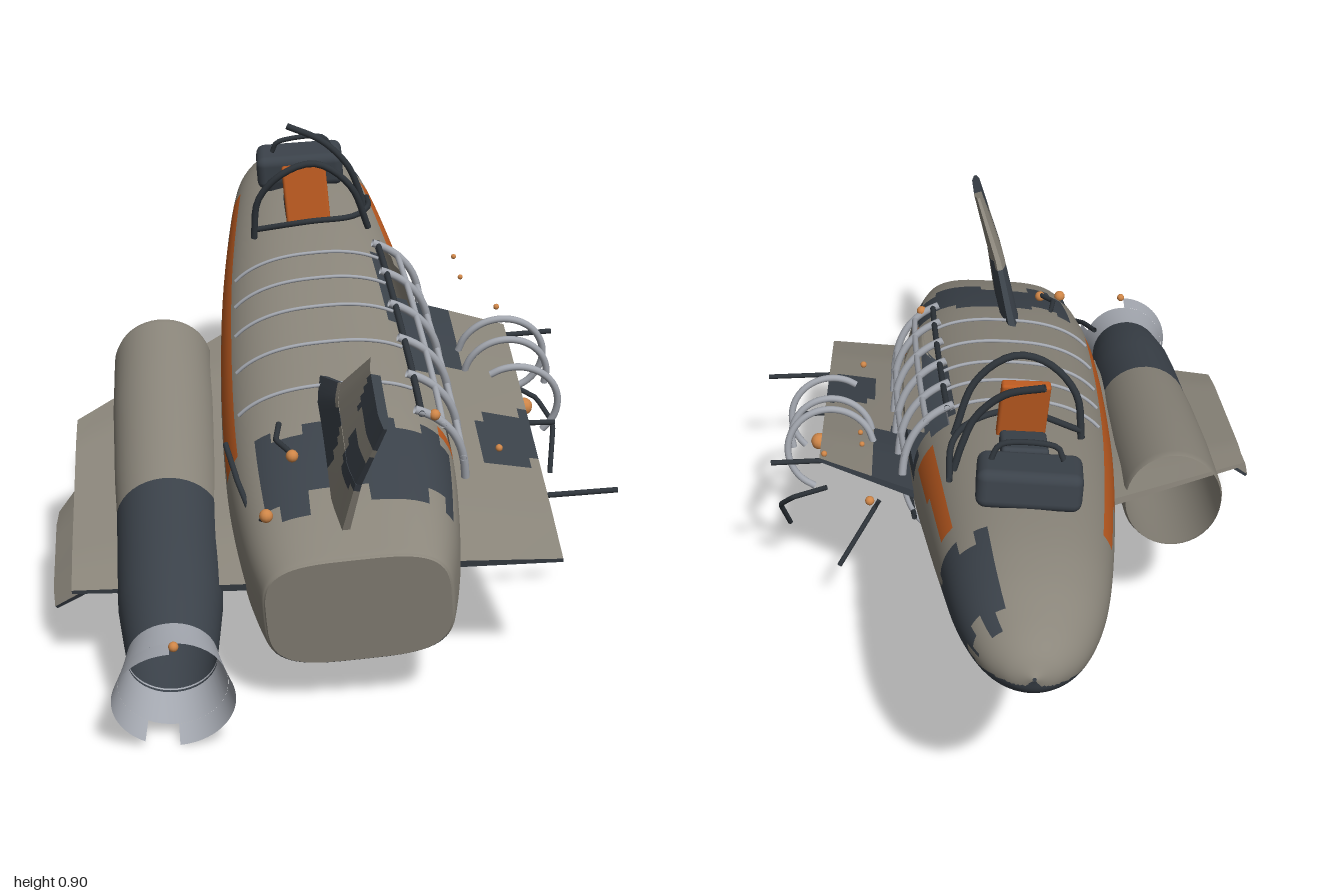
import * as THREE from 'three';
import { RoundedBoxGeometry } from 'three/addons/geometries/RoundedBoxGeometry.js';

const mat = (name, color) => {
  const m = new THREE.MeshStandardMaterial({ color, side: THREE.DoubleSide });
  m.name = name;
  return m;
};
const V = (x, y, z) => new THREE.Vector3(x, y, z);
const DEG = Math.PI / 180;

// Hull stations along z: [z, half width, half height, centre y, squareness]
const STATIONS = [
  [-1.02, 0.004, 0.004, -0.025, 2], [-0.995, 0.06, 0.046, -0.02, 2], [-0.94, 0.108, 0.08, -0.012, 2],
  [-0.84, 0.147, 0.107, 0.008, 2.1], [-0.7, 0.173, 0.124, 0.025, 2.2], [-0.45, 0.202, 0.152, 0.025, 2.3],
  [-0.15, 0.228, 0.18, 0.012, 2.4], [0.2, 0.243, 0.193, -0.003, 2.5], [0.5, 0.242, 0.192, -0.01, 2.7],
  [0.72, 0.222, 0.168, -0.012, 3], [0.86, 0.195, 0.138, -0.008, 3.4], [0.885, 0.183, 0.127, -0.006, 3.6],
];
const curveA = new THREE.CatmullRomCurve3(STATIONS.map((s) => V(s[0], s[1], s[2])), false, 'catmullrom', 0.5);
const curveB = new THREE.CatmullRomCurve3(STATIONS.map((s) => V(s[0], s[3], s[4])), false, 'catmullrom', 0.5);

// Point on the hull at curve parameter t and angle a, lifted by off
function hullPoint(t, a, off = 0) {
  const p = curveA.getPoint(t), q = curveB.getPoint(t), e = 2 / q.z;
  const c = Math.cos(a), s = Math.sin(a);
  return V(0.015 + Math.sign(c) * Math.abs(c) ** e * (p.y + off), q.y + Math.sign(s) * Math.abs(s) ** e * (p.z + off), p.x);
}
function paramAt(z) {
  let lo = 0, hi = 1;
  for (let i = 0; i < 30; i++) {
    const m = (lo + hi) / 2;
    if (curveA.getPoint(m).x < z) lo = m; else hi = m;
  }
  return lo;
}

// Sort quads into material groups by pick(centre, faceNormal); -1 cuts the quad away
function paint(geo, pick, mats) {
  const pos = geo.attributes.position, idx = geo.index.array, buckets = mats.map(() => []);
  for (let i = 0; i < idx.length; i += 6) {
    const [a, b, c, d] = [idx[i], idx[i + 1], idx[i + 2], idx[i + 4]].map((k) => V().fromBufferAttribute(pos, k));
    const n = b.clone().sub(a).cross(c.clone().sub(a)).normalize();
    const m = pick(a.add(b).add(c).add(d).divideScalar(4), n);
    if (m >= 0) buckets[m].push(...idx.slice(i, i + 6));
  }
  geo.clearGroups();
  let start = 0;
  buckets.forEach((b, m) => { geo.addGroup(start, b.length, m); start += b.length; });
  geo.setIndex(buckets.flat());
  return geo;
}

// Thin slab over four corners: inner front, outer front, inner rear, outer rear
function slab(corners, t0, t1, nu, nv) {
  const [a, b, c, d] = corners.map((p) => V(...p));
  const n = c.clone().sub(a).cross(b.clone().sub(a)).normalize();
  const g = new THREE.BoxGeometry(1, 1, 1, nu, 1, nv), pos = g.attributes.position;
  for (let i = 0; i < pos.count; i++) {
    const u = pos.getX(i) + 0.5, v = pos.getZ(i) + 0.5, h = pos.getY(i);
    const p = a.clone().lerp(b, u).lerp(c.clone().lerp(d, u), v);
    const edge = 0.35 + 0.65 * Math.min(1, Math.min(v, 1 - v) * 6);
    p.addScaledVector(n, h * (t0 + (t1 - t0) * u) * edge);
    pos.setXYZ(i, p.x, p.y, p.z);
  }
  g.computeVertexNormals();
  return g;
}

export function createModel() {
  const grey = mat('hullGrey', 0x8b867b), dark = mat('slate', 0x3b424a), orange = mat('orange', 0xbb5a20);
  const metal = mat('bareMetal', 0xa2a6ae), black = mat('strutBlack', 0x2e343a), copper = mat('copper', 0xcf8648);
  const root = new THREE.Group();
  const ship = new THREE.Group();
  ship.name = 'ship';
  ship.position.y = 0.43;
  ship.rotation.set(0.22, 0, 0.09);
  root.add(ship);
  const add = (parent, name, geo, material) => {
    const m = new THREE.Mesh(geo, material);
    m.name = name;
    parent.add(m);
    return m;
  };
  const tube = (parent, name, pts, r, material, smooth = true) => {
    const c = new THREE.CatmullRomCurve3(pts.map((p) => (p.isVector3 ? p : V(...p))), false, 'catmullrom', smooth ? 0.5 : 0.02);
    return add(parent, name, new THREE.TubeGeometry(c, pts.length * 4, r, 12), material);
  };

  // Fuselage: lofted rings with blocky paint patches and a breach on the left side
  const N = 64, M = 88, verts = [], index = [];
  for (let j = 0; j <= M; j++) for (let i = 0; i < N; i++) verts.push(...hullPoint(j / M, (i / N) * Math.PI * 2).toArray());
  for (let j = 0; j < M; j++) for (let i = 0; i < N; i++) {
    const a = j * N + i, b = j * N + (i + 1) % N;
    index.push(a, b, a + N, b, b + N, a + N);
  }
  const hull = new THREE.BufferGeometry();
  hull.setAttribute('position', new THREE.Float32BufferAttribute(verts, 3));
  hull.setIndex(index);
  hull.computeVertexNormals();
  const tailRing = verts.slice(-N * 3);
  let cell = 0;
  paint(hull, (p, n) => {
    const i = cell++ % N, a = ((i + 0.5) / N) * 360, z = p.z, wob = 0.025 * Math.sin(Math.floor(i / 3) * 2.3);
    if (a > 8 && a < 51 && z > -0.2 + wob * 0.5 && z < 0.47 + wob * 0.5) return -1;
    const low = z > -0.45 ? 11.2 : 16.8;
    if (((a > low && a < 33.8) || (a > 146.2 && a < 180 - low)) && z > -0.65 && z < 0.51 && !(a < 90 && z > -0.25 && z < 0.4)) return 2;
    if (n.y < -0.4) return 1;
    if ((a < 62 || a > 300) && z > -0.93 + wob && z < -0.71 + wob) return 1;
    if (a > 20 && a < 132 && z > 0.51 + wob && z < 0.73 + wob) return 1;
    if (a < 58 && z > -0.22 + wob && z < 0.1 + wob) return 1;
    return 0;
  }, [grey, dark, orange]);
  add(ship, 'fuselage', hull, [grey, dark, orange]);
  tube(ship, 'innerPipe', [[0.14, 0.125, -0.18], [0.15, 0.122, 0.05], [0.155, 0.118, 0.3]], 0.025, metal);

  // Flat tail bulkhead
  const capIdx = [];
  for (let i = 0; i < N; i++) capIdx.push(i, (i + 1) % N, N);
  const cap = new THREE.BufferGeometry();
  cap.setAttribute('position', new THREE.Float32BufferAttribute([...tailRing, 0.015, -0.006, 0.885], 3));
  cap.setIndex(capIdx);
  cap.computeVertexNormals();
  add(ship, 'tailBulkhead', cap, grey);

  // Hull seams, exposed frames and rails around the breach
  const arc = (z, a0, a1, off, n = 14) => Array.from({ length: n + 1 }, (_, k) => hullPoint(paramAt(z), (a0 + (a1 - a0) * k / n) * DEG, off));
  for (const z of [-0.16, -0.045, 0.075, 0.22, 0.38]) {
    tube(ship, 'topSeam', arc(z, 52, 140, 0.003), 0.004, metal);
    tube(ship, 'bellySeam', arc(z, 225, 315, 0.003), 0.004, metal);
  }
  for (const z of [-0.19, -0.06, 0.08, 0.22, 0.36, 0.49]) tube(ship, 'exposedFrame', arc(z, 0, 58, 0.022), 0.009, metal);
  for (const z of [-0.14, 0, 0.16, 0.32]) tube(ship, 'lowerFrame', arc(z, -52, -8, 0.015), 0.006, metal);
  const rail = (a, z0, z1, off, r, m) => tube(ship, 'rail', Array.from({ length: 9 }, (_, k) => hullPoint(paramAt(z0 + (z1 - z0) * k / 8), a * DEG, off)), r, m);
  rail(10, -0.2, 0.5, 0.022, 0.007, metal);
  rail(38, -0.2, 0.5, 0.022, 0.007, metal);
  rail(54, -0.2, 0.5, 0.022, 0.007, black);
  rail(-30, -0.18, 0.36, 0.015, 0.006, black);

  // Wings
  const wingMats = [grey, dark];
  const leftWing = slab([[0.21, -0.015, -0.25], [0.45, -0.01, -0.08], [0.21, -0.035, 0.74], [0.44, -0.035, 0.765]], 0.05, 0.025, 12, 24);
  add(ship, 'leftWing', paint(leftWing, (p, n) => {
    const front = p.z < 0.1 && p.x < 0.33, patch = p.x > 0.33 && p.z > 0.28 && p.z < 0.46;
    return n.y < 0.3 || front || patch ? 1 : 0;
  }, wingMats), wingMats);
  const rightWing = slab([[-0.19, -0.03, -0.21], [-0.56, -0.04, 0.09], [-0.19, -0.04, 0.74], [-0.56, -0.045, 0.69]], 0.05, 0.025, 12, 20);
  add(ship, 'rightWing', paint(rightWing, (p, n) => (n.y < -0.3 || n.z > 0.5 ? 1 : 0), wingMats), wingMats);
  const finlet = slab([[-0.48, -0.045, 0.18], [-0.61, -0.15, 0.28], [-0.48, -0.045, 0.66], [-0.61, -0.155, 0.6]], 0.03, 0.02, 4, 6);
  add(ship, 'wingTipFin', paint(finlet, (p, n) => (n.y < -0.2 ? 1 : 0), wingMats), wingMats);

  // Leaning tail fin in two tapered sections
  const finPaint = (p) => ((p.y > 0.36 && p.z > 0.7) || (p.y < 0.28 && p.z < 0.66) || (p.z > 0.74 && p.y < 0.33 && p.y > 0.24) ? 1 : 0);
  [[[0, 0.18, 0.33], [0.035, 0.29, 0.53], [0, 0.12, 0.81], [0.035, 0.26, 0.83]],
    [[0.035, 0.29, 0.53], [0.09, 0.42, 0.64], [0.035, 0.26, 0.83], [0.09, 0.415, 0.875]]].forEach((c, i) => {
    add(ship, 'tailFin', paint(slab(c, i ? 0.035 : 0.045, i ? 0.02 : 0.035, 8, 16), finPaint, wingMats), wingMats);
  });

  // Engine pod with open intake, dark afterbody and broken bell
  const engine = new THREE.Group();
  engine.name = 'enginePod';
  engine.position.set(-0.36, -0.044, 0);
  engine.rotation.x = Math.PI / 2 + 0.026;
  ship.add(engine);
  const lathe = (name, pts, m, p0 = 0, len = Math.PI * 2) =>
    add(engine, name, new THREE.LatheGeometry(pts.map((p) => new THREE.Vector2(...p)), 40, p0, len), m);
  lathe('cowl', [[0.11, -0.14], [0.115, -0.12], [0.118, 0.1], [0.115, 0.35], [0.111, 0.465]], grey);
  lathe('afterbody', [[0.111, 0.465], [0.109, 0.65], [0.106, 0.75], [0.096, 0.84], [0.089, 0.9]], dark);
  lathe('innerWall', [[0, 0.45], [0.111, 0.45]], dark);
  lathe('bell', [[0.089, 0.89], [0.097, 0.93], [0.107, 0.97]], metal);
  lathe('bellRim', [[0.107, 0.97], [0.12, 1.015]], metal, 0, 1.9);
  lathe('bellRim', [[0.107, 0.97], [0.12, 1.015]], metal, 3.1, 2.6);

  // Bare hoops of the missing left engine
  [[0.02, 0.1, -70, 165], [0.1, 0.095, -20, 190], [0.22, 0.1, -50, 120]].forEach(([z, r, a0, a1]) => {
    const pts = Array.from({ length: 13 }, (_, k) => {
      const a = (a0 + (a1 - a0) * k / 12) * DEG;
      return V(0.425 + r * Math.cos(a), -0.025 + r * Math.sin(a), z);
    });
    tube(ship, 'engineHoop', pts, 0.008, metal);
  });

  // Open cockpit: console, seat and bent canopy hoops
  const block = (name, size, at, rot, m) => {
    const b = add(root, name, new RoundedBoxGeometry(...size, 3, Math.min(...size) * 0.25), m);
    b.position.set(...at);
    b.rotation.set(...rot);
  };
  block('console', [0.215, 0.085, 0.115], [0, 0.752, -0.545], [0.15, -0.05, 0.08], dark);
  block('consoleFoot', [0.09, 0.06, 0.06], [-0.04, 0.71, -0.52], [0.15, 0, 0.08], black);
  block('seatBack', [0.105, 0.145, 0.026], [-0.003, 0.748, -0.285], [-0.12, 0, 0.09], orange);
  block('seatCushion', [0.1, 0.035, 0.1], [0, 0.7, -0.355], [0.2, 0, 0.09], dark);
  tube(root, 'consoleHandle', [[-0.07, 0.79, -0.53], [-0.05, 0.82, -0.52], [0.05, 0.83, -0.52], [0.08, 0.79, -0.53]], 0.006, black);
  tube(root, 'rearHoop', [[-0.13, 0.65, -0.26], [-0.12, 0.75, -0.24], [-0.06, 0.82, -0.22], [0.02, 0.84, -0.22], [0.1, 0.78, -0.23], [0.145, 0.67, -0.26]], 0.008, black);
  tube(root, 'brokenHoop', [[-0.04, 0.885, -0.41], [0.04, 0.855, -0.385], [0.1, 0.8, -0.38], [0.13, 0.74, -0.39], [0.15, 0.68, -0.4]], 0.008, black);
  tube(root, 'cockpitSill', [[0.16, 0.69, -0.45], [0.15, 0.7, -0.33], [0.1, 0.7, -0.25], [0, 0.7, -0.22], [-0.13, 0.67, -0.26]], 0.007, black);

  // Snapped rods and loose cables
  [[[0.4, 0.31, 0.53], [0.6, 0.315, 0.52]],
    [[0.42, 0.46, -0.05], [0.56, 0.465, -0.06]],
    [[0.42, 0.37, 0.27], [0.51, 0.37, 0.27]],
    [[0.44, 0.36, -0.02], [0.52, 0.32, 0], [0.555, 0.27, 0.04], [0.54, 0.17, 0.1]],
    [[0.32, 0.28, 0.03], [0.42, 0.15, -0.05]],
    [[-0.23, 0.44, 0.5], [-0.21, 0.4, 0.6], [-0.18, 0.35, 0.7], [-0.16, 0.385, 0.75]],
    [[-0.12, 0.49, 0.52], [-0.13, 0.48, 0.58], [-0.1, 0.47, 0.63]],
  ].forEach((p) => tube(root, 'looseRod', p, 0.006, black, false));

  // Copper sparks and terminals
  [[0.46, 0.365, 0.16, 0.02], [-0.35, 0.235, 0.985, 0.01], [-0.16, 0.39, 0.75, 0.014], [-0.1, 0.465, 0.63, 0.013],
    [0.435, 0.515, -0.1, 0.007], [0.345, 0.61, -0.2, 0.006], [0.35, 0.585, -0.12, 0.006], [0.355, 0.39, 0.45, 0.008],
    [0.205, 0.5, 0.52, 0.012], [0.34, 0.34, -0.05, 0.011]].forEach(([x, y, z, r]) => {
    add(root, 'spark', new THREE.SphereGeometry(r, 12, 8), copper).position.set(x, y, z);
  });
  return root;
}
